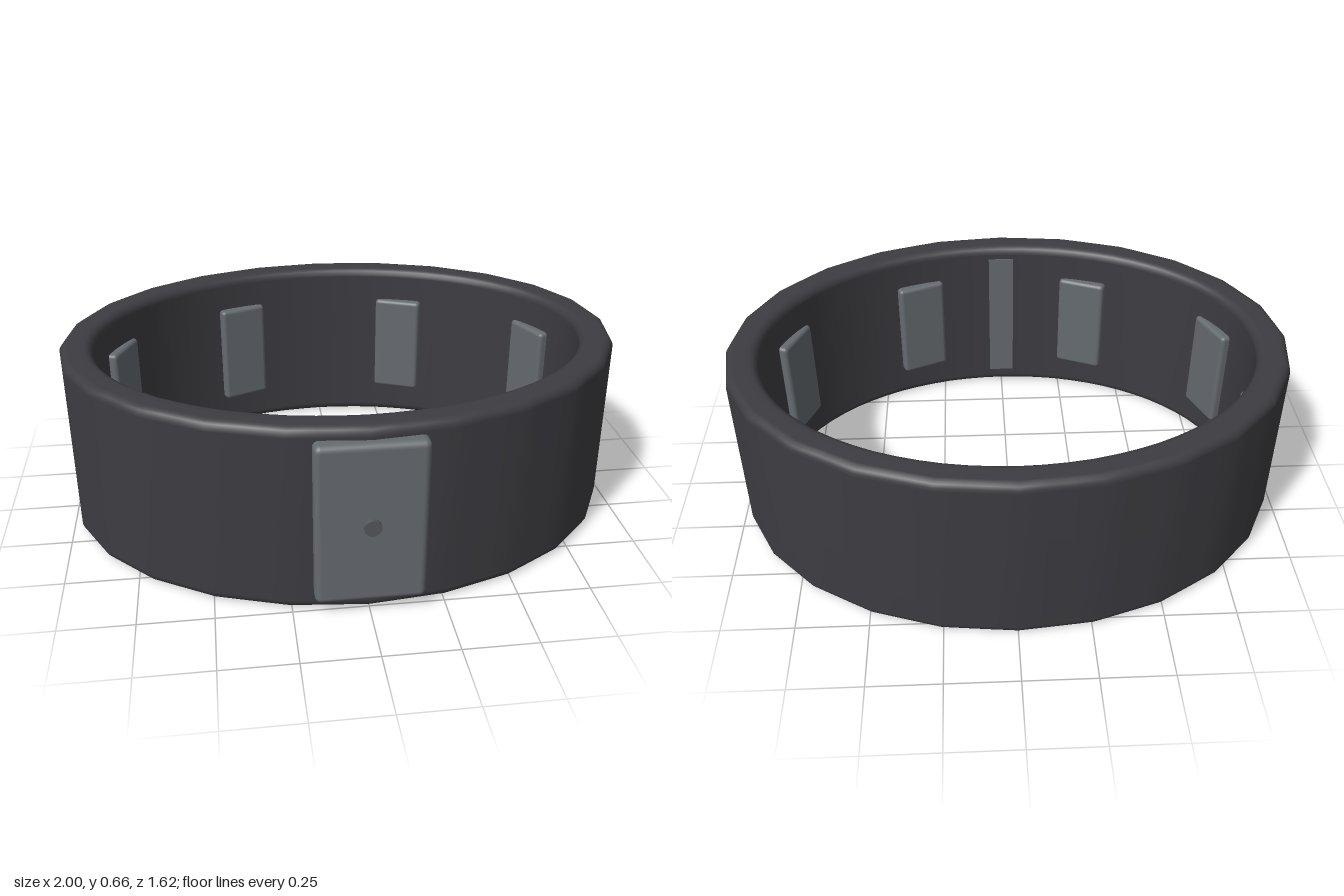
import * as THREE from 'three';
import { mergeVertices } from 'three/addons/utils/BufferGeometryUtils.js';
import { RoundedBoxGeometry } from 'three/addons/geometries/RoundedBoxGeometry.js';

const HEIGHT = 0.66, MID = HEIGHT / 2, CENTER_Z = -0.025;
const OUTER = [1.0, 0.785], INNER = [0.88, 0.67];

const material = (name, color) => {
  const m = new THREE.MeshStandardMaterial({ color });
  m.name = name;
  return m;
};

const ellipsePoint = ([rx, rz], a) => new THREE.Vector2(rx * Math.cos(a), rz * Math.sin(a));

// Point on an ellipse drawn with a coarse number of straight sides
function facetPoint(radii, t, sides) {
  const i = Math.floor(t * sides + 1e-6), f = t * sides - i, step = (Math.PI * 2) / sides;
  return ellipsePoint(radii, i * step).lerp(ellipsePoint(radii, (i + 1) * step), f);
}

// Elliptical band: a rounded rectangular section swept around the wrist
function bandGeometry() {
  const steps = 72, wall = 0.12, r = 0.032;
  const section = []; // [depth from inner wall 0..1, y]
  const corners = [
    [wall - r, r, -Math.PI / 2], [wall - r, HEIGHT - r, 0],
    [r, HEIGHT - r, Math.PI / 2], [r, r, Math.PI],
  ];
  for (const [cx, cy, start] of corners) {
    for (let k = 0; k <= 4; k++) {
      const a = start + (k / 4) * (Math.PI / 2);
      section.push([(cx + r * Math.cos(a)) / wall, cy + r * Math.sin(a)]);
    }
  }
  const n = section.length, positions = [], index = [];
  for (let s = 0; s < steps; s++) {
    const inner = ellipsePoint(INNER, (s / steps) * Math.PI * 2);
    const outer = facetPoint(OUTER, s / steps, 24);
    for (const [d, y] of section) {
      const p = inner.clone().lerp(outer, d);
      positions.push(p.x, y, p.y + CENTER_Z);
    }
    for (let k = 0; k < n; k++) {
      const a = s * n + k, b = s * n + ((k + 1) % n);
      const c = ((s + 1) % steps) * n + k, d = ((s + 1) % steps) * n + ((k + 1) % n);
      index.push(a, b, c, b, d, c);
    }
  }
  const g = new THREE.BufferGeometry();
  g.setAttribute('position', new THREE.Float32BufferAttribute(positions, 3));
  g.setIndex(index);
  const merged = mergeVertices(g);
  merged.computeVertexNormals();
  return merged;
}

export function createModel() {
  const model = new THREE.Group();
  model.name = 'bracelet';
  const bandMat = material('charcoal band', 0x3d3c41);
  const plateMat = material('grey metal', 0x666b70);
  const buttonMat = material('dark button', 0x55575b);

  const add = (name, geometry, mat, x, y, z) => {
    const mesh = new THREE.Mesh(geometry, mat);
    mesh.name = name;
    mesh.position.set(x, y, z);
    model.add(mesh);
    return mesh;
  };

  add('band', bandGeometry(), bandMat, 0, 0, 0);

  // Front plate, with its back showing as a strip on the inner wall
  add('frontPlate', new RoundedBoxGeometry(0.36, 0.57, 0.11, 3, 0.022), plateMat, 0, 0.335, 0.737);
  add('innerStrip', new THREE.BoxGeometry(0.1, 0.55, 0.02), plateMat, 0, 0.335, 0.6515);

  // Button on the plate
  const button = add('button', new THREE.CylinderGeometry(0.028, 0.028, 0.03, 24), buttonMat, 0, 0.335, 0.792);
  button.rotation.x = Math.PI / 2;

  // Eight contact pads spaced around the inner wall
  const padGeometry = new RoundedBoxGeometry(0.19, 0.4, 0.06, 3, 0.015);
  for (let i = 0; i < 8; i++) {
    const a = ((i + 0.5) / 8) * Math.PI * 2;
    const p = ellipsePoint(INNER, a);
    const pad = add('contactPad', padGeometry, plateMat, p.x, MID, p.y + CENTER_Z);
    pad.rotation.y = Math.PI / 2 - a;
  }
  return model;
}
